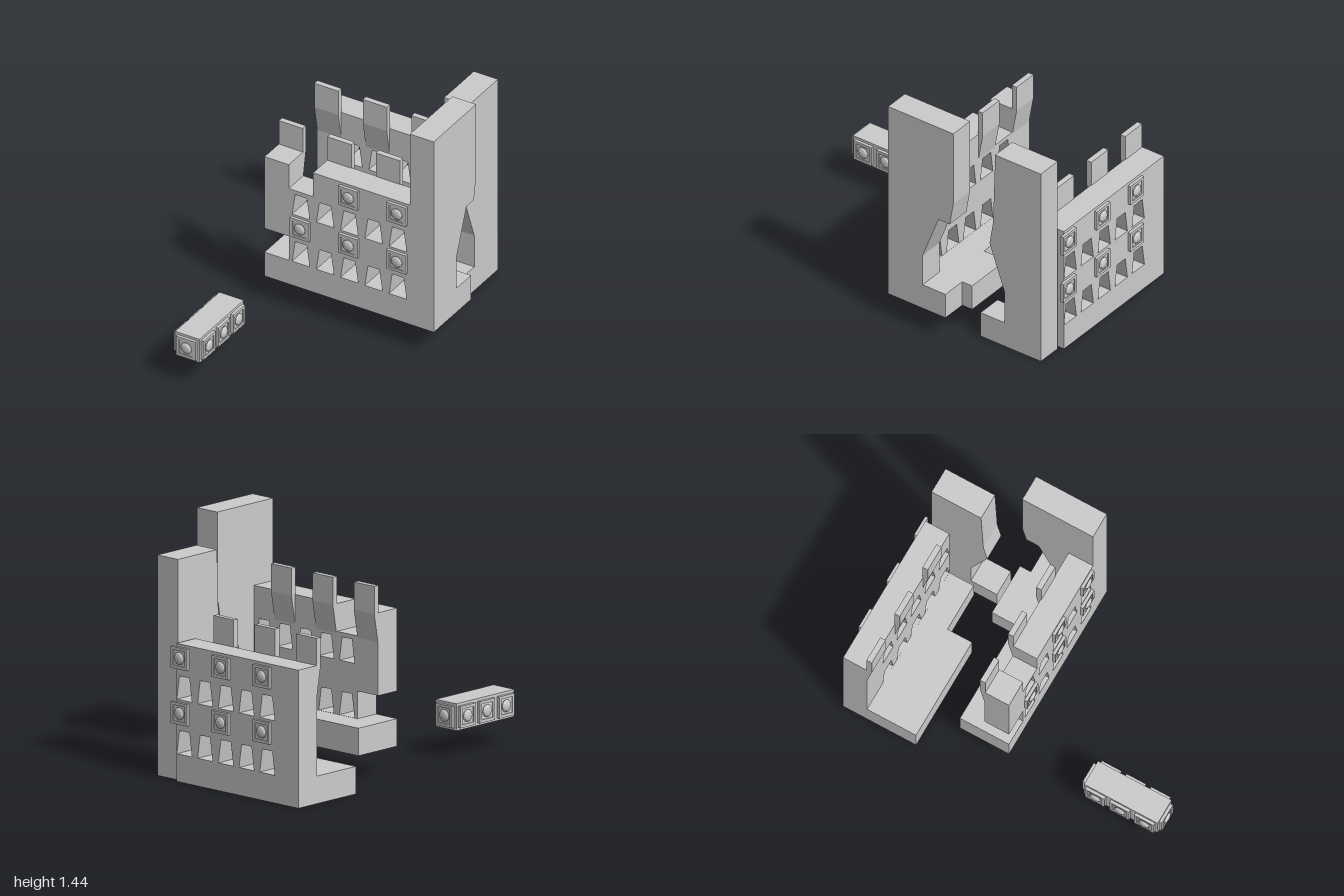
import * as THREE from 'three';

const grey = new THREE.MeshStandardMaterial({ color: 0xcccccc, flatShading: true });

function add(parent, name, geometry) {
  const mesh = new THREE.Mesh(geometry, grey);
  mesh.name = name;
  parent.add(mesh);
  return mesh;
}

const toShape = (points) => new THREE.Shape(points.map(([x, y]) => new THREE.Vector2(x, y)));

// Box given by its limits
function box(parent, name, x0, x1, y0, y1, z0, z1) {
  const mesh = add(parent, name, new THREE.BoxGeometry(x1 - x0, y1 - y0, z1 - z0));
  mesh.position.set((x0 + x1) / 2, (y0 + y1) / 2, (z0 + z1) / 2);
}

// Side profile of [z, y] points, extruded from x0 to x1
function sideProfile(parent, name, points, x0, x1) {
  const geo = new THREE.ExtrudeGeometry(toShape(points.map(([z, y]) => [-z, y])), { depth: x1 - x0, bevelEnabled: false });
  geo.rotateY(Math.PI / 2);
  add(parent, name, geo).position.x = x0;
}

// Wall outline in x and y with two rows of tapered openings
function wall(parent, outline, slotXs, slotYs, z0, z1) {
  const shape = toShape(outline);
  for (const y of slotYs) {
    for (const x of slotXs) {
      shape.holes.push(toShape([[x - 0.058, y], [x - 0.038, y + 0.137], [x + 0.038, y + 0.137], [x + 0.058, y]]));
    }
  }
  const geo = new THREE.ExtrudeGeometry(shape, { depth: z1 - z0, bevelEnabled: false });
  add(parent, 'wall', geo).position.z = z0;
}

// Square stud with a rim and a rounded boss, facing +z before turning
function stud(parent, x, y, z, turn) {
  const group = new THREE.Group();
  group.name = 'stud';
  const square = (r) => [[-r, -r], [r, -r], [r, r], [-r, r]];
  const rim = toShape(square(0.063));
  rim.holes.push(toShape(square(0.046)));
  add(group, 'studRim', new THREE.ExtrudeGeometry(rim, { depth: 0.018, bevelEnabled: false }));
  box(group, 'studPlate', -0.046, 0.046, -0.046, 0.046, 0, 0.012);
  const boss = new THREE.LatheGeometry(
    [[0.036, 0.008], [0.036, 0.016], [0.028, 0.024], [0.014, 0.028], [0, 0.029]].map(([r, h]) => new THREE.Vector2(r, h)), 12);
  boss.rotateX(Math.PI / 2);
  add(group, 'studBoss', boss);
  group.position.set(x, y, z);
  group.rotation.y = turn;
  parent.add(group);
}

// Thin teeth on the inner face of a wall; dir is the inward z direction
function teeth(parent, xs, z, top, dir) {
  const a = z - dir * 0.004, b = z + dir * 0.03;
  let points = [[a, top], [b, top], [b, top - 0.16], [z, top - 0.33], [a, top - 0.33]];
  if (dir > 0) points = points.reverse();
  for (const x of xs) sideProfile(parent, 'tooth', points, x + 0.001, x + 0.159);
}

function frontHalf() {
  const g = new THREE.Group();
  g.name = 'frontHalf';
  wall(g, [
    [-0.48, 0.16], [0.48, 0.16], [0.48, 0.96], [-0.16, 0.96], [-0.16, 0.8], [-0.32, 0.8],
    [-0.32, 0.96], [-0.48, 0.96], [-0.48, 0.48], [-0.32, 0.48], [-0.32, 0.32], [-0.48, 0.32],
  ], [-0.24, -0.08, 0.08, 0.24, 0.4], [0.321, 0.637], -0.145, 0.012);
  box(g, 'foot', -0.48, 0.16, 0.16, 0.32, -0.305, -0.145);
  box(g, 'longFoot', 0.16, 0.48, 0.16, 0.32, -0.46, -0.145);
  sideProfile(g, 'tower', [
    [0.012, 0.16], [0.012, 1.437], [-0.445, 1.437], [-0.445, 0.96], [-0.42, 0.81],
    [-0.34, 0.81], [-0.23, 0.52], [-0.23, 0.32], [-0.39, 0.32], [-0.39, 0.16],
  ], 0.48, 0.637);
  teeth(g, [-0.48, -0.16, 0.16], -0.145, 1.118, -1);
  for (const [x, y] of [[0.08, 0.88], [0.4, 0.88], [-0.24, 0.56], [0.08, 0.56], [0.4, 0.56]]) {
    stud(g, x, y, 0.012, 0);
  }
  return g;
}

function backHalf() {
  const g = new THREE.Group();
  g.name = 'backHalf';
  wall(g, [[-0.64, 0], [0.3, 0], [0.3, 0.8], [-0.64, 0.8]],
    [-0.4, -0.24, -0.08, 0.08, 0.24], [0.161, 0.477], -0.97, -0.815);
  box(g, 'longFoot', -0.64, 0, 0, 0.16, -0.815, -0.498);
  box(g, 'foot', 0, 0.3, 0, 0.16, -0.815, -0.657);
  sideProfile(g, 'tower', [
    [-0.94, 0], [-0.517, 0], [-0.517, 0.16], [-0.685, 0.16], [-0.685, 0.37],
    [-0.58, 0.66], [-0.605, 0.81], [-0.62, 1.277], [-0.94, 1.277],
  ], 0.318, 0.477);
  teeth(g, [-0.64, -0.32, 0], -0.815, 0.958, 1);
  for (const y of [0.4, 0.72]) {
    for (const x of [-0.367, -0.05, 0.267]) stud(g, x, y, -0.97, Math.PI);
  }
  return g;
}

// Loose bar with studs on its sides and ends
function looseBar() {
  const g = new THREE.Group();
  g.name = 'looseBar';
  box(g, 'bar', -0.48, -0.32, 0.163, 0.32, 0.497, 0.973);
  for (const z of [0.576, 0.735, 0.894]) {
    stud(g, -0.32, 0.241, z, Math.PI / 2);
    stud(g, -0.48, 0.241, z, -Math.PI / 2);
  }
  stud(g, -0.4, 0.241, 0.973, 0);
  stud(g, -0.4, 0.241, 0.497, Math.PI);
  return g;
}

export function createModel() {
  const model = new THREE.Group();
  model.name = 'splitCastleMould';
  model.add(frontHalf(), backHalf(), looseBar());
  return model;
}
